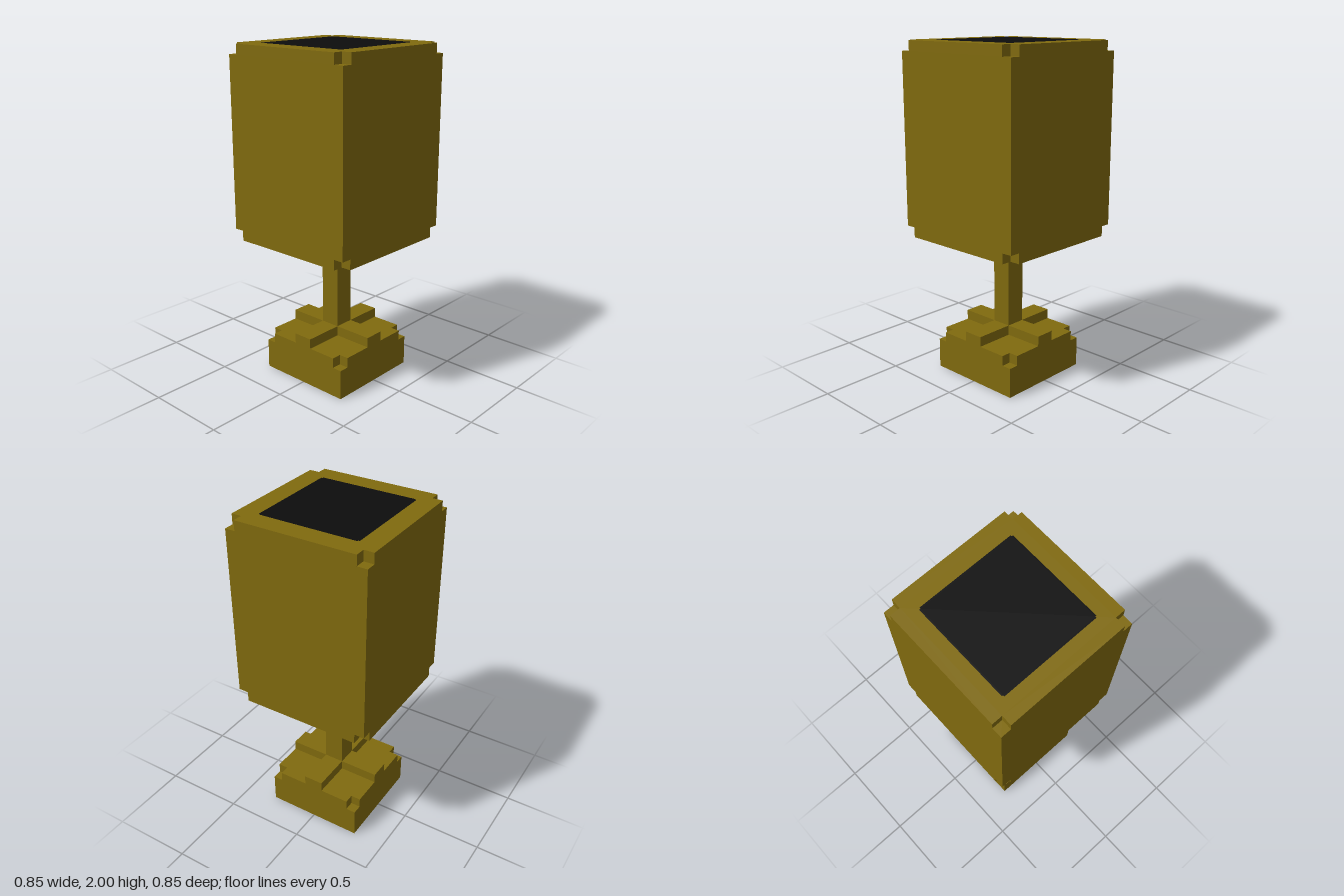
import * as THREE from 'three';

const U = 0.0606; // size of one block unit

export function createModel() {
  const gold = new THREE.MeshStandardMaterial({ color: 0x806a0e });
  gold.name = 'dark gold';
  const black = new THREE.MeshStandardMaterial({ color: 0x0d0d0d });
  black.name = 'black';

  const add = (parent, name, geometry, y, material = gold) => {
    const mesh = new THREE.Mesh(geometry, material);
    mesh.name = name;
    mesh.position.y = y;
    parent.add(mesh);
    return mesh;
  };

  // Upright box between two heights
  const box = (parent, name, half, y0, y1) =>
    add(parent, name, new THREE.BoxGeometry(half * 2, y1 - y0, half * 2), (y0 + y1) / 2);

  // Square outline with its corners cut out; inner is half the width of an arm
  const notched = (half, inner) => {
    const points = [];
    for (let i = 0; i < 4; i++) {
      const c = [1, 0, -1, 0][i], s = [0, 1, 0, -1][i];
      for (const [x, y] of [[half, -inner], [half, inner], [inner, inner]]) {
        points.push(new THREE.Vector2(x * c - y * s, x * s + y * c));
      }
    }
    return new THREE.Shape(points);
  };

  // Layer with cut corners between two heights
  const layer = (parent, name, half, inner, y0, y1) => {
    const g = new THREE.ExtrudeGeometry(notched(half, inner), { depth: y1 - y0, bevelEnabled: false });
    add(parent, name, g.rotateX(-Math.PI / 2), y0);
  };

  const model = new THREE.Group();
  model.name = 'goblet';

  // Foot: square block, cut top corners, raised cross
  const foot = new THREE.Group();
  foot.name = 'foot';
  model.add(foot);
  box(foot, 'footBlock', 5 * U - 0.001, 0, 3 * U);
  layer(foot, 'footTop', 5 * U - 0.001, 4 * U, 3 * U, 4 * U);
  layer(foot, 'footCross', 5 * U - 0.001, U, 4 * U, 5 * U);

  // Stem
  box(model, 'stem', U, 5 * U, 14 * U + 0.005);

  // Cup: block with all eight corners cut out
  const cup = new THREE.Group();
  cup.name = 'cup';
  model.add(cup);
  layer(cup, 'cupBottom', 7 * U, 6 * U, 0.855, 0.855 + U);
  box(cup, 'cupBody', 7 * U, 0.855 + U, 2 - U);
  layer(cup, 'cupRim', 7 * U, 6 * U, 2 - U, 2);

  // Dark opening
  const opening = new THREE.ShapeGeometry(notched(0.302, 0.294)).rotateX(-Math.PI / 2);
  add(cup, 'opening', opening, 2.001, black);

  return model;
}
